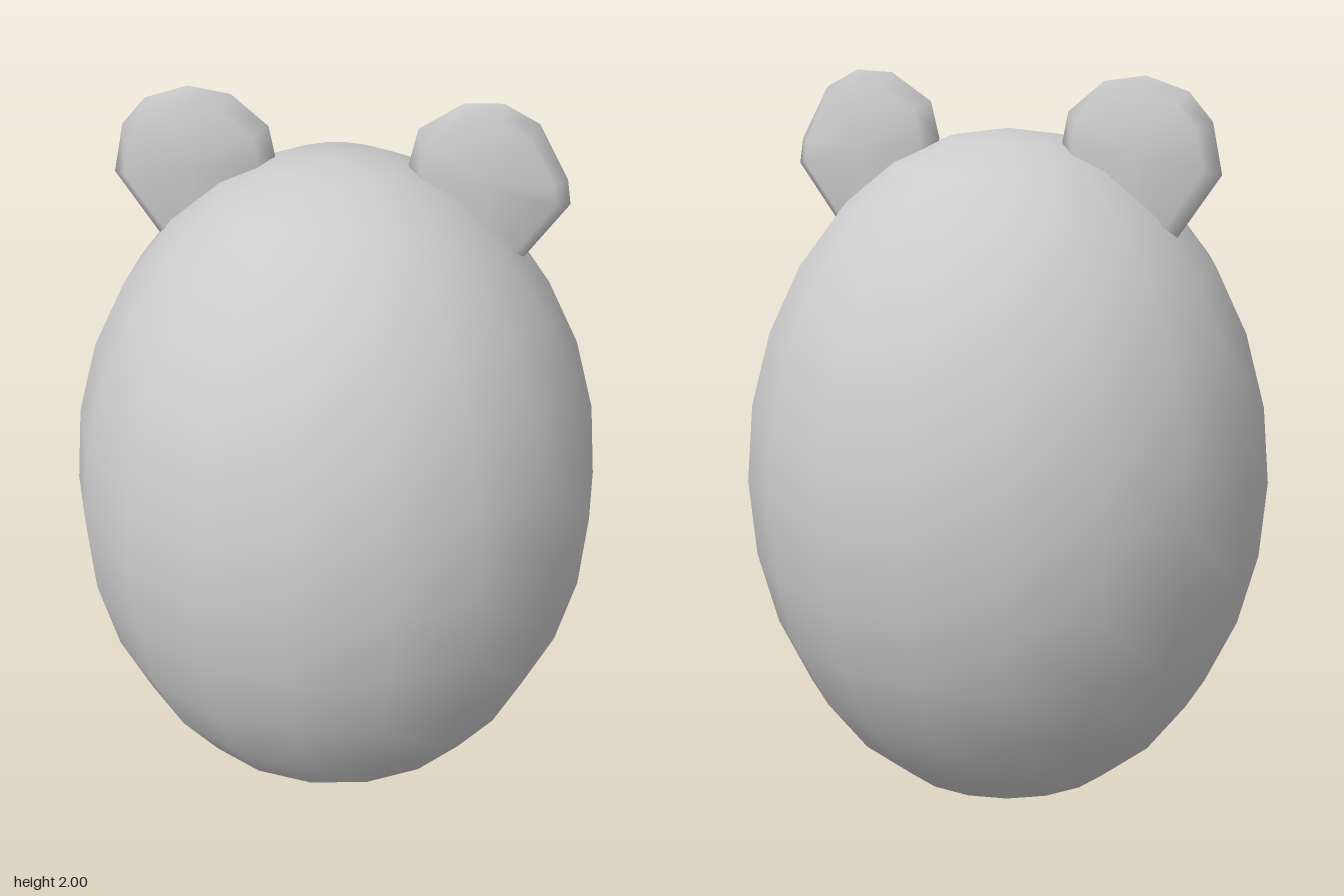
import * as THREE from 'three';

const grey = new THREE.MeshStandardMaterial({ color: 0xcccccc });
grey.name = 'plain grey';

// Thin plate with a bevelled rim and smooth normals, from an anticlockwise outline
function earGeometry(outline, z, halfDepth) {
  const n = outline.length;
  const cx = outline.reduce((s, p) => s + p[0], 0) / n;
  const cy = outline.reduce((s, p) => s + p[1], 0) / n;
  const pos = [], index = [];
  const loops = [[0.83, halfDepth], [1, 0], [0.83, -halfDepth]];
  for (const [s, dz] of loops) {
    for (const [x, y] of outline) pos.push(cx + (x - cx) * s, cy + (y - cy) * s, z + dz);
  }
  pos.push(cx, cy, z + halfDepth, cx, cy, z - halfDepth);
  for (let i = 0; i < n; i++) {
    const j = (i + 1) % n;
    index.push(3 * n, i, j, 3 * n + 1, 2 * n + j, 2 * n + i);
    for (let k = 0; k < 2; k++) {
      const a = k * n + i, b = k * n + j, c = a + n, d = b + n;
      index.push(a, c, b, b, c, d);
    }
  }
  const g = new THREE.BufferGeometry();
  g.setAttribute('position', new THREE.Float32BufferAttribute(pos, 3));
  g.setIndex(index);
  g.computeVertexNormals();
  return g;
}

export function createModel() {
  const model = new THREE.Group();
  model.name = 'eggWithEars';

  // Egg-shaped body, 18 sides with corners at front and back
  const bodyGeometry = new THREE.SphereGeometry(1, 18, 14, Math.PI / 2);
  bodyGeometry.scale(0.706, 0.927, 0.706);
  bodyGeometry.translate(0, 0.927, 0);
  const body = new THREE.Mesh(bodyGeometry, grey);
  body.name = 'body';
  model.add(body);

  // Rounded ears narrowing into the head
  const ears = {
    leftEar: [[0.38, 1.48], [0.48, 1.597], [0.587, 1.745], [0.577, 1.81], [0.5, 1.95],
      [0.41, 1.997], [0.31, 1.992], [0.2, 1.92], [0.177, 1.825], [0.22, 1.64]],
    rightEar: [[-0.22, 1.64], [-0.164, 1.825], [-0.18, 1.905], [-0.275, 1.984], [-0.385, 2],
      [-0.497, 1.963], [-0.56, 1.89], [-0.587, 1.76], [-0.476, 1.597], [-0.38, 1.48]],
  };
  for (const [name, outline] of Object.entries(ears)) {
    const ear = new THREE.Mesh(earGeometry(outline, -0.042, 0.042), grey);
    ear.name = name;
    model.add(ear);
  }
  return model;
}
